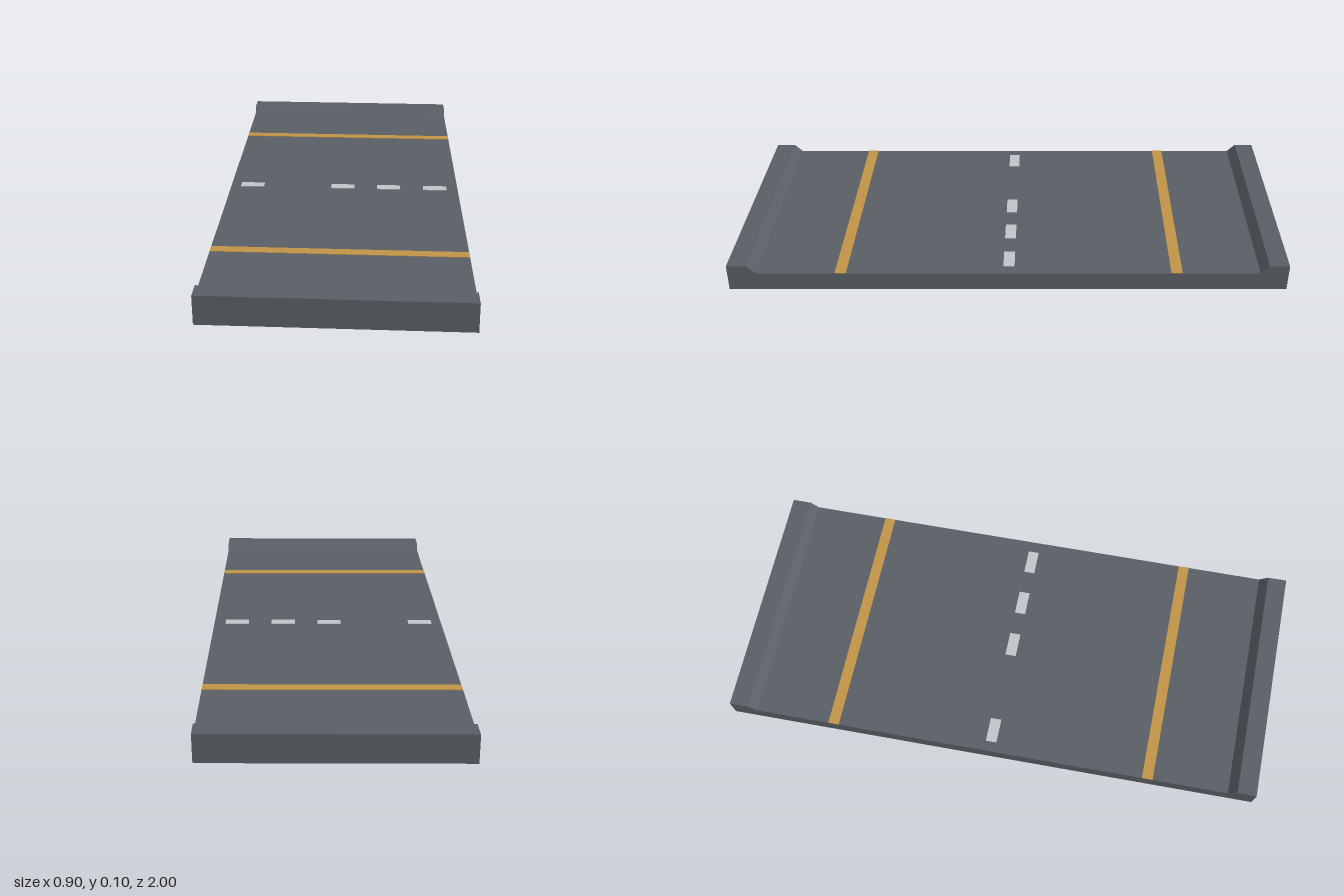
import * as THREE from 'three';

const HALF_W = 0.4375, HALF_L = 0.9925, ROAD_Y = 0.07, CURB_Y = 0.1;

// The slab is a slight parallelogram in plan: x and z both skew a little
const skew = new THREE.Matrix4().set(
  1, 0, 0.0126, 0,
  0, 1, 0, 0,
  0.017, 0, 1, 0,
  0, 0, 0, 1
);

export function createModel() {
  const asphalt = new THREE.MeshStandardMaterial({ name: 'asphalt grey', color: 0x5b6067 });
  const amber = new THREE.MeshStandardMaterial({ name: 'line amber', color: 0xc4974a });
  const white = new THREE.MeshStandardMaterial({ name: 'dash white', color: 0xc4c8cc });

  const group = new THREE.Group();
  group.name = 'roadSection';

  const add = (name, geometry, material) => {
    const mesh = new THREE.Mesh(geometry.applyMatrix4(skew), material);
    mesh.name = name;
    group.add(mesh);
  };

  // Thin painted plate lying on the road surface
  const paint = (name, x, z, width, length, material) => {
    const t = 0.002;
    add(name, new THREE.BoxGeometry(width, t, length).translate(x, ROAD_Y + t / 2, z), material);
  };

  // Road slab with a bevelled curb along each end, extruded across its width
  const profile = new THREE.Shape([
    [-HALF_L, 0], [HALF_L, 0], [HALF_L, CURB_Y], [HALF_L - 0.07, CURB_Y],
    [HALF_L - 0.1, ROAD_Y], [-HALF_L + 0.1, ROAD_Y], [-HALF_L + 0.07, CURB_Y], [-HALF_L, CURB_Y],
  ].map(([z, y]) => new THREE.Vector2(z, y)));
  const slab = new THREE.ExtrudeGeometry(profile, { depth: HALF_W * 2, bevelEnabled: false })
    .translate(0, 0, -HALF_W)
    .rotateY(-Math.PI / 2);
  add('roadSlab', slab, asphalt);

  // Edge lines
  paint('backEdgeLine', 0, -0.597, HALF_W * 2, 0.04, amber);
  paint('frontEdgeLine', 0, 0.593, HALF_W * 2, 0.04, amber);

  // Centre dashes, with one worn away
  [-0.355, -0.005, 0.172, 0.35].forEach((x, i) =>
    paint(`centreDash${i + 1}`, x, -0.002, 0.09, 0.04, white));

  return group;
}
